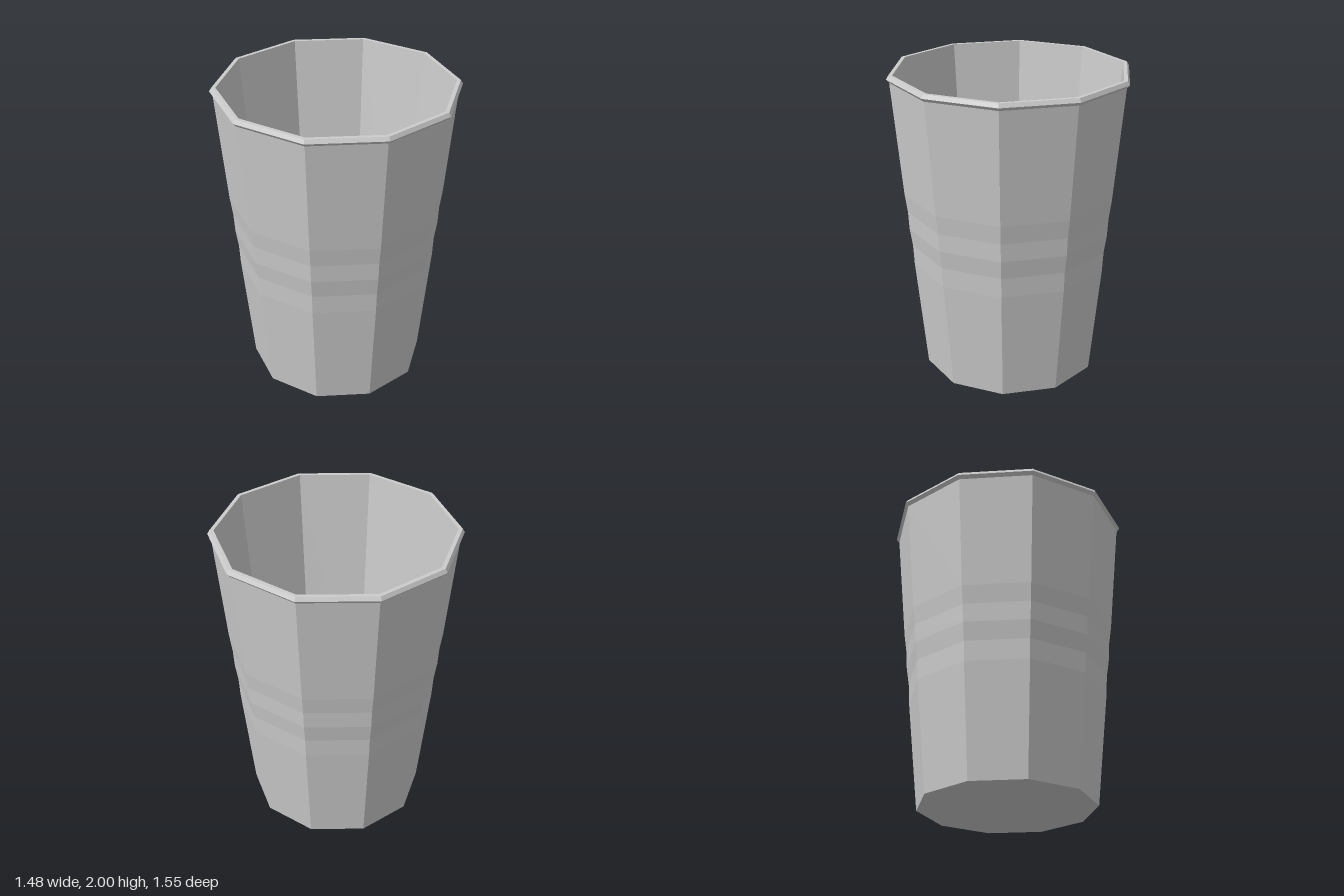
import * as THREE from 'three';

const SIDES = 10;
const material = new THREE.MeshStandardMaterial({ color: 0xcccccc, flatShading: true });

// Ten-sided part turned from a [radius, height] profile, with a corner facing +z
function turned(name, profile) {
  const points = profile.map(([r, y]) => new THREE.Vector2(r, y));
  const mesh = new THREE.Mesh(new THREE.LatheGeometry(points, SIDES), material);
  mesh.name = name;
  return mesh;
}

export function createModel() {
  const cup = new THREE.Group();
  cup.name = 'cup';

  // Underside and tapered outer wall, with two shallow grip ridges at mid height
  cup.add(turned('outerWall', [
    [0, 0], [0.568, 0],
    [0.641, 0.73], [0.648, 0.86], [0.666, 0.98], [0.673, 1.1], [0.69, 1.22],
    [0.757, 1.955],
  ]));

  // Bevelled lip
  cup.add(turned('rim', [
    [0.757, 1.955], [0.776, 1.976], [0.762, 2], [0.737, 2],
  ]));

  // Plain inner wall and floor
  cup.add(turned('interior', [
    [0.737, 2], [0.556, 0.03], [0, 0.03],
  ]));

  return cup;
}
